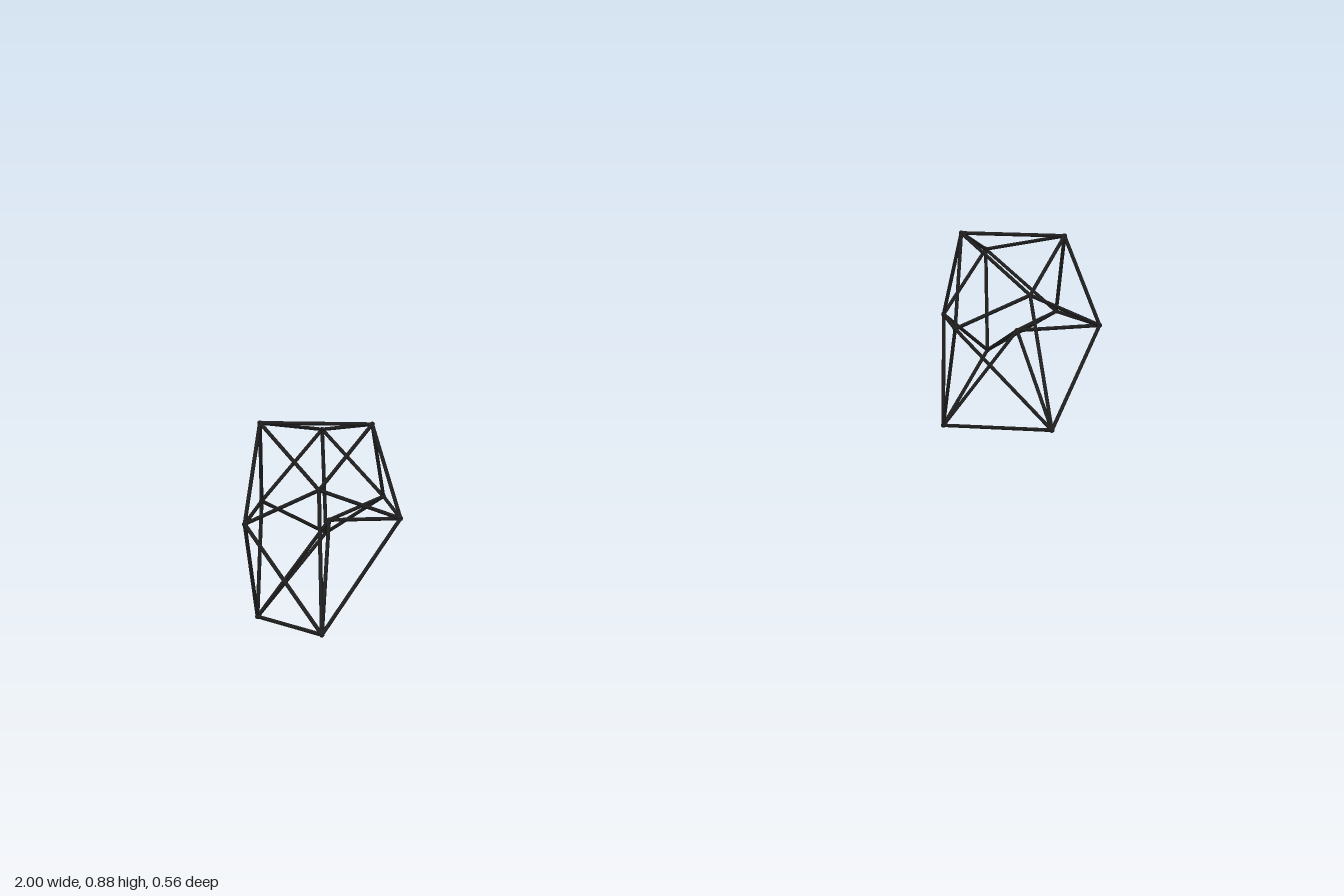
import * as THREE from 'three';

// Joints of one cage: a distorted icosahedron, relative to its middle column
const JOINTS = {
  topRight: [-0.131, 0.471, -0.05], topLeft: [0.122, 0.459, -0.05],
  lowRight: [-0.159, 0.007, -0.051], lowLeft: [0.015, 0.234, -0.051],
  backHigh: [0, 0.398, -0.273], backLow: [0, 0.152, -0.229],
  frontHigh: [0, 0.341, 0.078], frontLow: [0, 0.065, 0.267],
  sideRightFront: [-0.169, 0.262, 0.053], sideLeftFront: [0.179, 0.262, 0.058],
  sideRightBack: [-0.142, 0.262, -0.138], sideLeftBack: [0.141, 0.262, -0.138],
};

// Every joint and the joints it is tied to (each strut listed once)
const STRUTS = {
  topRight: ['topLeft', 'frontHigh', 'backHigh', 'sideRightFront', 'sideRightBack'],
  topLeft: ['frontHigh', 'backHigh', 'sideLeftFront', 'sideLeftBack'],
  lowRight: ['lowLeft', 'frontLow', 'backLow', 'sideRightFront', 'sideRightBack'],
  lowLeft: ['frontLow', 'backLow', 'sideLeftFront', 'sideLeftBack'],
  frontHigh: ['frontLow', 'sideRightFront', 'sideLeftFront'],
  frontLow: ['sideRightFront', 'sideLeftFront'],
  backHigh: ['backLow', 'sideRightBack', 'sideLeftBack'],
  backLow: ['sideRightBack', 'sideLeftBack'],
  sideRightFront: ['sideRightBack'],
  sideLeftFront: ['sideLeftBack'],
};

const ROD = 0.0044;
const BALL = 0.006;
const UP = new THREE.Vector3(0, 1, 0);

function createCage(name, material) {
  const cage = new THREE.Group();
  cage.name = name;

  // Thin rods along the edges
  const rodGeometry = new THREE.CylinderGeometry(ROD, ROD, 1, 8);
  for (const [from, ends] of Object.entries(STRUTS)) {
    const a = new THREE.Vector3(...JOINTS[from]);
    for (const to of ends) {
      const b = new THREE.Vector3(...JOINTS[to]);
      const rod = new THREE.Mesh(rodGeometry, material);
      rod.name = 'strut';
      rod.position.copy(a).lerp(b, 0.5);
      rod.scale.y = a.distanceTo(b);
      rod.quaternion.setFromUnitVectors(UP, b.sub(a).normalize());
      cage.add(rod);
    }
  }

  // Small balls where the rods meet
  const ballGeometry = new THREE.SphereGeometry(BALL, 10, 8);
  for (const position of Object.values(JOINTS)) {
    const ball = new THREE.Mesh(ballGeometry, material);
    ball.name = 'joint';
    ball.position.set(...position);
    cage.add(ball);
  }
  return cage;
}

export function createModel() {
  const model = new THREE.Group();
  model.name = 'wireCages';
  const material = new THREE.MeshStandardMaterial({ color: 0x1e1e1e });

  const lower = createCage('lowerCage', material);
  lower.position.set(-0.825, 0, 0);
  const upper = createCage('upperCage', material);
  upper.position.set(0.812, 0.403, 0.006);

  model.add(lower, upper);
  return model;
}
